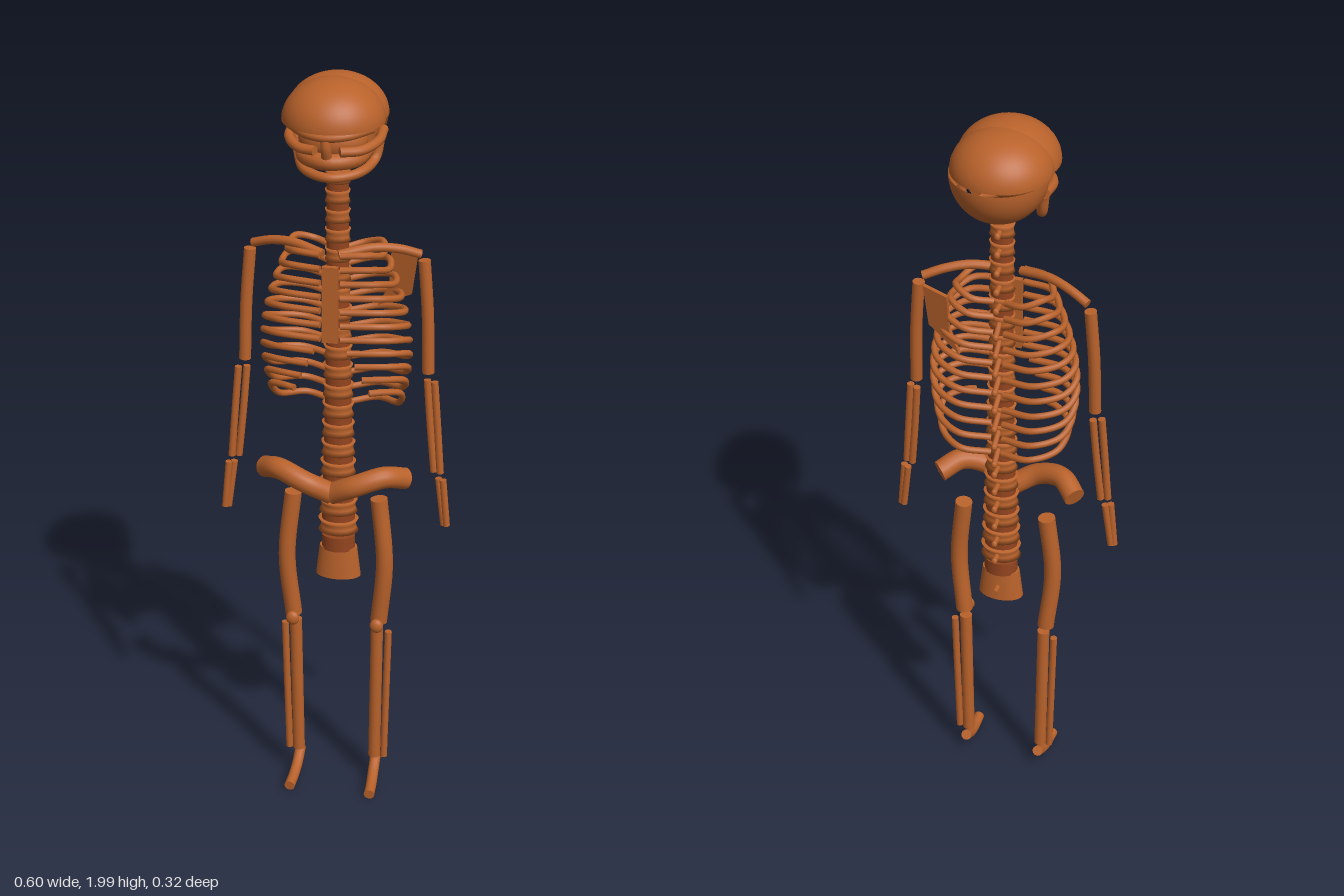
import * as THREE from 'three';

const bone = new THREE.MeshStandardMaterial({ color: 0xb9622b, side: THREE.DoubleSide });
bone.name = 'bone';
const disc = new THREE.MeshStandardMaterial({ color: 0x94451f, side: THREE.DoubleSide });
disc.name = 'disc';

export function createModel() {
  const root = new THREE.Group();
  root.name = 'skeleton';

  const add = (name, geometry, position = [0, 0, 0], scale = [1, 1, 1], material = bone) => {
    const mesh = new THREE.Mesh(geometry, material);
    mesh.name = name;
    mesh.position.set(...position);
    mesh.scale.set(...scale);
    root.add(mesh);
    return mesh;
  };

  // Smooth tube through points, closed by flat discs at both ends
  const tube = (name, points, radius, segments = 24, sides = 12) => {
    const curve = new THREE.CatmullRomCurve3(points.map(p => new THREE.Vector3(...p)));
    add(name, new THREE.TubeGeometry(curve, segments, radius, sides));
    for (const t of [0, 1]) {
      const cap = add(name + 'End', new THREE.CircleGeometry(radius, sides));
      cap.position.copy(curve.getPoint(t));
      const out = curve.getTangent(t).multiplyScalar(t ? 1 : -1);
      cap.quaternion.setFromUnitVectors(new THREE.Vector3(0, 0, 1), out);
    }
  };

  // The same tube on both sides of the body
  const pair = (name, points, radius, segments, sides) => {
    tube('left' + name, points, radius, segments, sides);
    tube('right' + name, points.map(([x, y, z]) => [-x, y, z]), radius, segments, sides);
  };

  // Skull: two overlapping domes and the rounded back
  const dome = new THREE.SphereGeometry(1, 40, 16, 0, Math.PI * 2, 0, Math.PI / 2);
  const floor = new THREE.CircleGeometry(1, 40).rotateX(Math.PI / 2);
  for (const [name, z, size] of [['frontDome', 0.035, [0.125, 0.1, 0.125]], ['rearDome', -0.018, [0.124, 0.098, 0.122]]]) {
    add(name, dome, [0, 1.9, z], size);
    add(name + 'Base', floor, [0, 1.9, z], size);
  }
  add('skullBack', new THREE.SphereGeometry(1, 32, 16, Math.PI, Math.PI, Math.PI / 2, Math.PI / 2),
    [0, 1.905, -0.035], [0.12, 0.125, 0.125]);

  // Face: core, brow, cheeks, nose, upper and lower jaw
  add('faceCore', new THREE.SphereGeometry(1, 24, 16), [0, 1.855, 0.04], [0.085, 0.055, 0.065]);
  tube('brow', [[-0.1, 1.893, 0.07], [-0.05, 1.888, 0.122], [0, 1.885, 0.135], [0.05, 1.888, 0.122], [0.1, 1.893, 0.07]], 0.011);
  pair('Cheekbone', [[0.11, 1.86, -0.03], [0.108, 1.852, 0.04], [0.075, 1.845, 0.095], [0.03, 1.845, 0.115]], 0.012);
  tube('noseBone', [[0, 1.888, 0.13], [0, 1.86, 0.133], [0, 1.835, 0.125]], 0.013);
  tube('upperJaw', [[-0.075, 1.82, 0.01], [-0.06, 1.818, 0.08], [0, 1.818, 0.115], [0.06, 1.818, 0.08], [0.075, 1.82, 0.01]], 0.02);
  tube('lowerJaw', [[-0.105, 1.85, -0.02], [-0.095, 1.795, -0.005], [-0.065, 1.777, 0.06], [0, 1.772, 0.095],
    [0.065, 1.777, 0.06], [0.095, 1.795, -0.005], [0.105, 1.85, -0.02]], 0.012, 48);

  // Spine: vertebrae that widen downward, with discs and rear processes
  const count = 19;
  for (let i = 0; i < count; i++) {
    const t = i / (count - 1);
    const y = 1.74 - 0.9 * t - 0.065 * t * t;
    const step = 0.05 + 0.0072 * t;
    const r = 0.032 + 0.021 * t * t;
    const z = -0.016 - 0.012 * t;
    const h = step * 0.62;
    const profile = [[0, -h / 2], [r, -h / 2], [r * 0.88, -h / 6], [r * 0.88, h / 6], [r, h / 2], [0, h / 2]]
      .map(p => new THREE.Vector2(...p));
    add('vertebra', new THREE.LatheGeometry(profile, 20), [0, y, z], [1, 1, 0.8]);
    if (i < count - 1) add('disc', new THREE.CylinderGeometry(r * 0.86, r * 0.86, step * 0.4, 20),
      [0, y - step / 2, z], [1, 1, 0.8], disc);
    const drop = i > 4 && i < 13 ? 0.025 : 0.003;
    const back = -0.055 - 0.03 * Math.min(1, t * 1.8);
    tube('spinousProcess', [[0, y, z - r * 0.6], [0, y - drop, back]], 0.007, 4, 8);
    add('processTip', new THREE.SphereGeometry(0.01, 10, 8), [0, y - drop, back], [0.8, 1, 0.7]);
  }
  add('sacrumDisc', new THREE.CylinderGeometry(0.044, 0.044, 0.04, 24), [0, 0.725, -0.028], [1, 1, 0.8], disc);
  add('sacrum', new THREE.CylinderGeometry(0.05, 0.06, 0.085, 24), [0, 0.667, -0.028], [1, 1, 0.6]);
  tube('sacrumProcess', [[0, 0.665, -0.05], [0, 0.665, -0.085]], 0.008, 4, 8);

  // Ribs: curved hoops, lower at the spine than at the breastbone
  for (let i = 0; i < 11; i++) {
    const t = i / 10;
    const w = 0.115 + 0.07 * Math.sin(Math.PI * Math.min(1, t * 0.72 + 0.02));
    const yFront = 1.575 - 0.37 * t;
    const yBack = yFront - 0.03 - 0.065 * t;
    const floating = Math.max(0, i - 6) / 4;
    const zFront = 0.085 - 0.02 * floating;
    pair('Rib', [
      [0.015, yBack, -0.04 - 0.025 * t],
      [w * 0.55, yBack + 0.012, -0.06 - 0.025 * t],
      [w * 0.93, yBack + 0.025, -0.035],
      [w, yFront - 0.02, 0.015],
      [w * 0.75, yFront - 0.005, zFront * 0.8],
      [0.025 + 0.07 * floating, yFront - 0.005, zFront],
    ], 0.0085, 32, 8);
  }
  add('breastbone', new THREE.BoxGeometry(0.04, 0.2, 0.014), [0, 1.44, 0.083]);

  // Shoulders: collarbones and a single shoulder blade
  pair('Collarbone', [[0.02, 1.57, 0.075], [0.1, 1.583, 0.045], [0.16, 1.575, 0.02], [0.21, 1.557, 0]], 0.0115);
  const blade = new THREE.Shape([[0.13, 1.54], [0.2, 1.545], [0.185, 1.44], [0.095, 1.39], [0.125, 1.45]]
    .map(p => new THREE.Vector2(...p)));
  const bladeGeometry = new THREE.ExtrudeGeometry(blade, { depth: 0.012, bevelEnabled: false });
  const p = bladeGeometry.attributes.position;
  for (let i = 0; i < p.count; i++) p.setZ(i, p.getZ(i) - 0.1 + p.getX(i) * 0.36);
  bladeGeometry.computeVertexNormals();
  add('leftShoulderBlade', bladeGeometry);

  // Arms and hands
  pair('UpperArm', [[0.219, 1.54, -0.004], [0.23, 1.4, 0], [0.235, 1.243, 0.005]], 0.0155);
  pair('Radius', [[0.252, 1.22, 0.008], [0.262, 1.1, 0.012], [0.272, 0.97, 0.016]], 0.0095);
  pair('Ulna', [[0.232, 1.22, -0.002], [0.242, 1.1, 0.004], [0.255, 0.97, 0.01]], 0.0095);
  pair('OuterHand', [[0.28, 0.952, 0.018], [0.292, 0.822, 0.02]], 0.009);
  pair('InnerHand', [[0.267, 0.952, 0.01], [0.284, 0.822, 0.016]], 0.009);

  // Hips
  pair('Hip', [[0, 0.912, 0.07], [0.065, 0.948, 0.088], [0.135, 0.968, 0.065], [0.183, 0.948, 0.02]], 0.028, 32, 16);

  // Legs and feet
  pair('Thigh', [[0.113, 0.875, 0.006], [0.13, 0.69, 0.012], [0.115, 0.51, 0.005]], 0.0225, 24, 16);
  pair('Shin', [[0.11, 0.49, 0.002], [0.105, 0.08, 0]], 0.0165);
  pair('OuterShin', [[0.14, 0.475, -0.002], [0.131, 0.08, 0]], 0.0095);
  pair('Foot', [[0.105, 0.065, -0.024], [0.106, 0.038, 0.02], [0.108, 0.025, 0.06], [0.11, 0.021, 0.106]], 0.0145);
  for (const s of [-1, 1]) add('kneecap', new THREE.SphereGeometry(0.018, 16, 12), [s * 0.113, 0.507, 0.03], [1, 1.1, 0.7]);

  return root;
}
